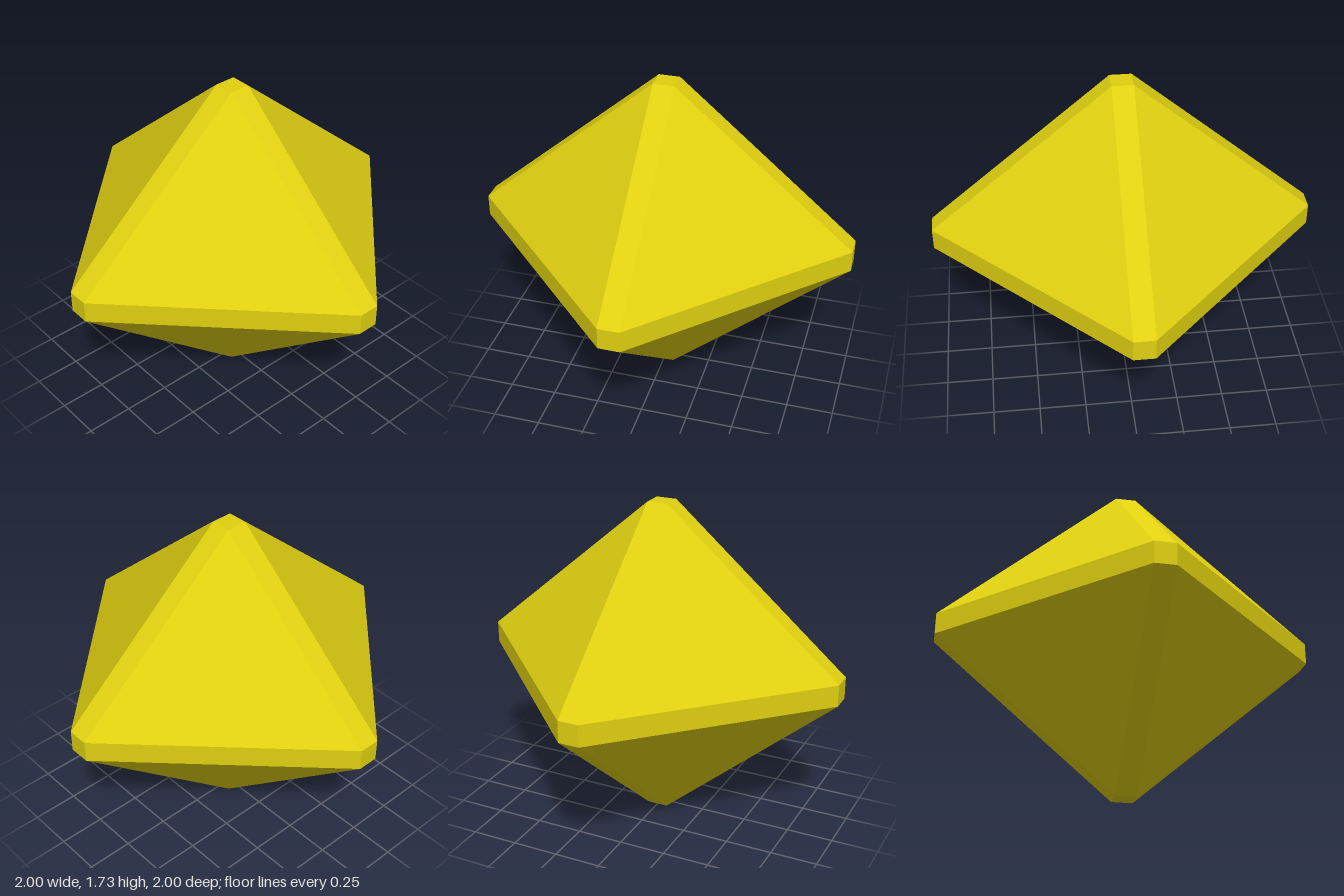
import * as THREE from 'three';
import { ConvexGeometry } from 'three/addons/geometries/ConvexGeometry.js';

export function createModel() {
  const group = new THREE.Group();
  group.name = 'gem';

  const yellow = new THREE.MeshStandardMaterial({ color: 0xe0d010 });
  yellow.name = 'yellow';

  const half = 0.867;   // half height
  const bevel = 0.055;  // half width of the cut tips and edges
  const girdle = 0.058; // half height of the middle band

  // Each of the six tips is cut to a small rectangle; their hull is the bevelled octahedron
  const points = [];
  for (const sx of [-1, 1]) for (const sy of [-1, 1]) for (const sz of [-1, 1]) {
    points.push(
      new THREE.Vector3(sx, sy * girdle, sz * bevel),
      new THREE.Vector3(sx * bevel, sy * half, sz * bevel),
      new THREE.Vector3(sx * bevel, sy * girdle, sz),
    );
  }
  const geometry = new ConvexGeometry(points);
  geometry.translate(0, half, 0);

  const body = new THREE.Mesh(geometry, yellow);
  body.name = 'bevelledOctahedron';
  group.add(body);
  return group;
}
